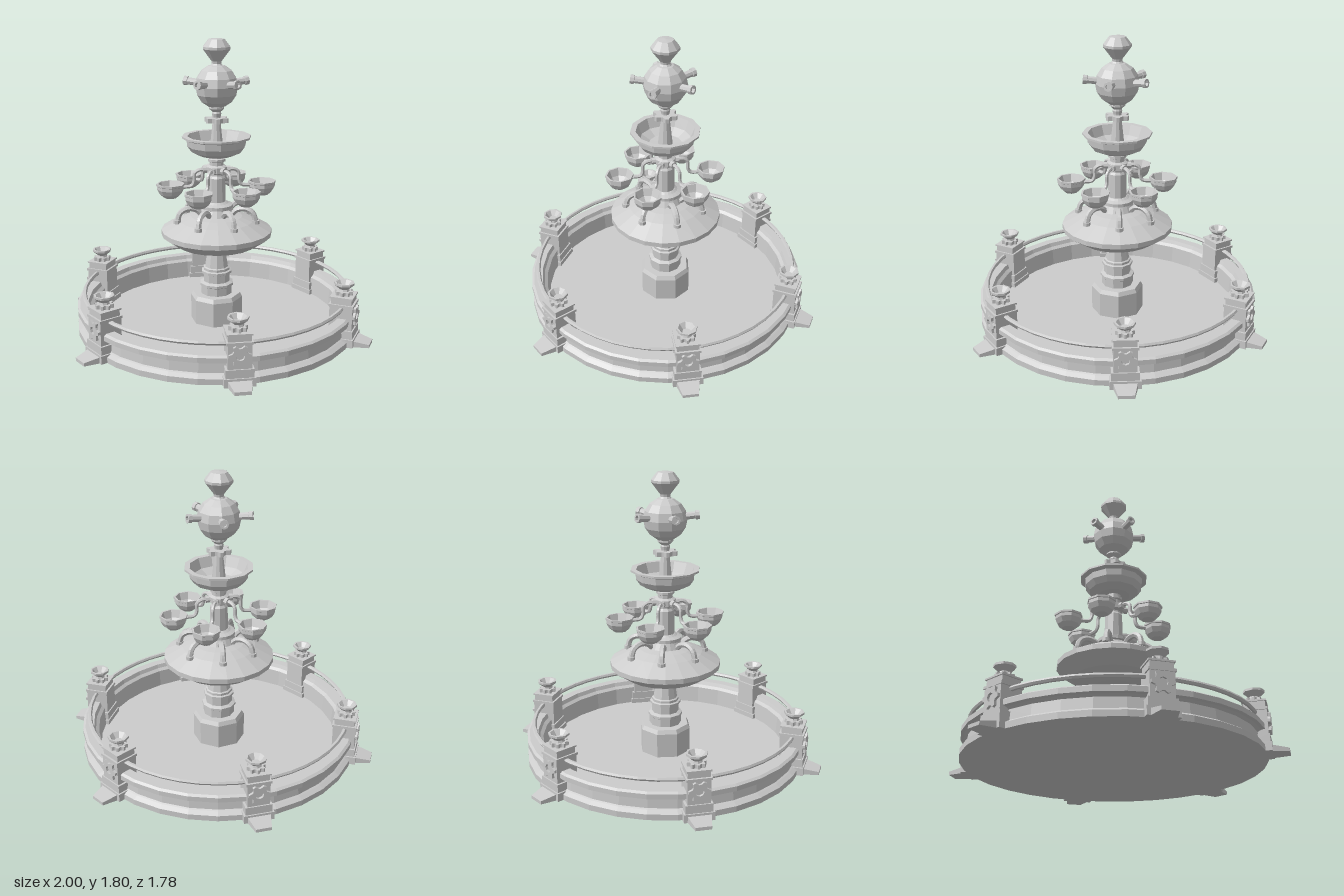
import * as THREE from 'three';

const stone = new THREE.MeshStandardMaterial({ color: 0xcccccc, flatShading: true });
const thin = new THREE.MeshStandardMaterial({ color: 0xcccccc, flatShading: true, side: THREE.DoubleSide });

function add(parent, name, geometry, material = stone) {
  const mesh = new THREE.Mesh(geometry, material);
  mesh.name = name;
  parent.add(mesh);
  return mesh;
}

// Turned part from [radius, height] pairs, outside listed upwards
function turned(parent, name, sides, profile, material) {
  const pts = profile.map(([r, y]) => new THREE.Vector2(r, y));
  return add(parent, name, new THREE.LatheGeometry(pts, sides), material);
}

function block(parent, name, w, h, d, x, y, z = 0) {
  const mesh = add(parent, name, new THREE.BoxGeometry(w, h, d));
  mesh.position.set(x, y, z);
  return mesh;
}

// Round-lobed cog in the xy plane, extruded along z
function cog(lobes, inner, outer, depth, hole) {
  const shape = new THREE.Shape();
  const n = lobes * 4;
  for (let i = 0; i < n; i++) {
    const a = ((i - 0.5) / n) * Math.PI * 2;
    const r = i % 4 < 2 ? outer : inner;
    const p = [Math.cos(a) * r, Math.sin(a) * r];
    i ? shape.lineTo(...p) : shape.moveTo(...p);
  }
  shape.closePath();
  if (hole) shape.holes.push(new THREE.Path().absarc(0, 0, hole, 0, Math.PI * 2, true));
  return new THREE.ExtrudeGeometry(shape, { depth, bevelEnabled: false, curveSegments: 4 });
}

// Pipe through [outward, up] points
function pipe(parent, name, points, radius, steps = 14) {
  const curve = new THREE.CatmullRomCurve3(points.map(([x, y]) => new THREE.Vector3(x, y, 0)));
  return add(parent, name, new THREE.TubeGeometry(curve, steps, radius, 6, false), thin);
}

// Copies of a part around the axis, built facing +x
function ring(parent, name, count, start, build) {
  for (let i = 0; i < count; i++) {
    const g = new THREE.Group();
    g.name = name;
    g.rotation.y = start + (i / count) * Math.PI * 2;
    build(g);
    parent.add(g);
  }
}

function buildPost(g) {
  block(g, 'postBase', 0.17, 0.05, 0.18, 0.825, 0.025);
  block(g, 'postPlinth', 0.155, 0.05, 0.16, 0.825, 0.075);
  block(g, 'postBody', 0.14, 0.17, 0.135, 0.825, 0.17);
  block(g, 'postCornice', 0.15, 0.015, 0.15, 0.825, 0.25);
  block(g, 'postTop', 0.125, 0.045, 0.13, 0.825, 0.277);
  block(g, 'postCap', 0.14, 0.01, 0.145, 0.825, 0.299);

  // Wedge foot, lower and narrower towards its tip
  const foot = new THREE.BoxGeometry(0.16, 0.05, 0.17);
  const p = foot.attributes.position;
  for (let i = 0; i < p.count; i++) {
    if (p.getX(i) > 0) {
      p.setZ(i, p.getZ(i) * 0.55);
      if (p.getY(i) > 0) p.setY(i, -0.005);
    }
  }
  add(g, 'foot', foot).position.set(0.92, 0.025, 0);

  // Rosette on the outer face
  const rosette = add(g, 'rosette', cog(6, 0.046, 0.064, 0.02, 0.025));
  rosette.rotation.y = Math.PI / 2;
  rosette.position.set(0.89, 0.18, 0);

  // Small urn
  const collar = add(g, 'urnCollar', cog(8, 0.042, 0.055, 0.025));
  collar.rotation.x = -Math.PI / 2;
  collar.position.set(0.825, 0.303, 0);
  turned(g, 'urn', 8, [[0.035, 0.325], [0.03, 0.34], [0.055, 0.362], [0.062, 0.367],
    [0.062, 0.38], [0.05, 0.38], [0.025, 0.35], [0, 0.35]]).position.x = 0.825;
}

export function createModel() {
  const model = new THREE.Group();
  model.name = 'fountain';

  // Pool with moulded wall
  turned(model, 'basin', 32, [[0, 0], [0.88, 0], [0.88, 0.035], [0.855, 0.05], [0.845, 0.055],
    [0.84, 0.115], [0.86, 0.125], [0.88, 0.13], [0.88, 0.16], [0.865, 0.17], [0.81, 0.17],
    [0.80, 0.145], [0.78, 0.13], [0.77, 0.02], [0, 0.02]]);

  // Hand rail
  const rail = add(model, 'rail', new THREE.TorusGeometry(0.832, 0.014, 6, 48));
  rail.rotation.x = Math.PI / 2;
  rail.position.y = 0.23;

  ring(model, 'post', 6, 0, buildPost);

  // Pedestal and lower shaft
  turned(model, 'pedestal', 8, [[0.164, 0.02], [0.164, 0.175], [0.15, 0.2], [0, 0.2]]);
  turned(model, 'lowerColumn', 10, [[0.1, 0.2], [0.1, 0.25], [0.108, 0.255], [0.108, 0.27],
    [0.085, 0.28], [0.085, 0.33], [0.097, 0.335], [0.097, 0.35], [0.085, 0.355], [0.085, 0.37],
    [0.075, 0.375], [0.056, 0.49]]);

  // Large covered bowl
  turned(model, 'largeBowl', 20, [[0, 0.48], [0.12, 0.48], [0.25, 0.525], [0.345, 0.59],
    [0.345, 0.62], [0.23, 0.68], [0.16, 0.705], [0.11, 0.715], [0.09, 0.755], [0.102, 0.76],
    [0.102, 0.78], [0.075, 0.79], [0.06, 0.8], [0, 0.8]]);

  // Arched pipes on the large bowl
  ring(model, 'archedPipe', 7, 0, (g) => {
    pipe(g, 'arch', [[0.09, 0.71], [0.13, 0.75], [0.185, 0.76], [0.23, 0.735], [0.248, 0.68]], 0.018);
    const end = add(g, 'pipeCollar', new THREE.CylinderGeometry(0.024, 0.024, 0.022, 8));
    end.position.set(0.249, 0.68, 0);
  });

  // Middle column
  turned(model, 'middleColumn', 10, [[0.058, 0.79], [0.055, 0.95], [0.045, 0.965], [0.045, 0.975],
    [0.065, 0.985], [0.065, 1.02], [0.045, 1.03], [0.045, 1.05], [0.056, 1.055], [0.056, 1.07],
    [0.045, 1.075], [0.045, 1.1]]);

  // Six cups on bent arms
  ring(model, 'cupArm', 6, Math.PI / 6, (g) => {
    pipe(g, 'arm', [[0.05, 1.0], [0.11, 1.0], [0.137, 0.98], [0.14, 0.93], [0.155, 0.902], [0.21, 0.895]], 0.012, 20);
    const knob = add(g, 'armSocket', new THREE.CylinderGeometry(0.022, 0.022, 0.03, 8));
    knob.rotation.z = Math.PI / 2;
    knob.position.set(0.07, 1.0, 0);
    turned(g, 'cup', 8, [[0, 0.83], [0.04, 0.832], [0.067, 0.855], [0.083, 0.885], [0.083, 0.905],
      [0.088, 0.908], [0.088, 0.92], [0.077, 0.92], [0.06, 0.875], [0.035, 0.85], [0, 0.845]]).position.x = 0.285;
  });

  // Upper open bowl
  turned(model, 'upperBowl', 12, [[0, 1.09], [0.1, 1.09], [0.155, 1.115], [0.18, 1.15], [0.185, 1.19],
    [0.213, 1.2], [0.213, 1.212], [0.18, 1.212], [0.155, 1.15], [0.1, 1.12], [0, 1.115]]);

  // Upper shaft, cog and collar
  turned(model, 'upperShaft', 10, [[0.045, 1.115], [0.026, 1.29], [0.026, 1.33], [0.03, 1.35],
    [0.026, 1.36], [0.048, 1.38], [0.048, 1.39], [0.035, 1.4]]);
  const disc = add(model, 'cogCollar', cog(6, 0.055, 0.075, 0.028));
  disc.rotation.x = -Math.PI / 2;
  disc.position.y = 1.295;

  // Globe with five nozzles
  const globe = [];
  for (let i = 0; i <= 8; i++) {
    const a = (i / 8) * Math.PI;
    globe.push([Math.sin(a) * 0.133, 1.515 - Math.cos(a) * 0.133]);
  }
  turned(model, 'globe', 10, globe);
  ring(model, 'nozzle', 5, -Math.PI / 2, (g) => {
    const tilt = new THREE.Group();
    tilt.name = 'nozzleBarrel';
    tilt.position.set(0.1, 1.53, 0);
    tilt.rotation.z = -Math.PI / 2 + 0.12;
    turned(tilt, 'barrel', 8, [[0.022, 0], [0.022, 0.08], [0.028, 0.082], [0.028, 0.105],
      [0.016, 0.105], [0.016, 0.085], [0, 0.085]]);
    g.add(tilt);
  });

  // Finial
  turned(model, 'finial', 10, [[0.042, 1.635], [0.03, 1.65], [0.032, 1.665], [0.085, 1.735],
    [0.085, 1.75], [0.05, 1.795], [0, 1.8]]);

  return model;
}
